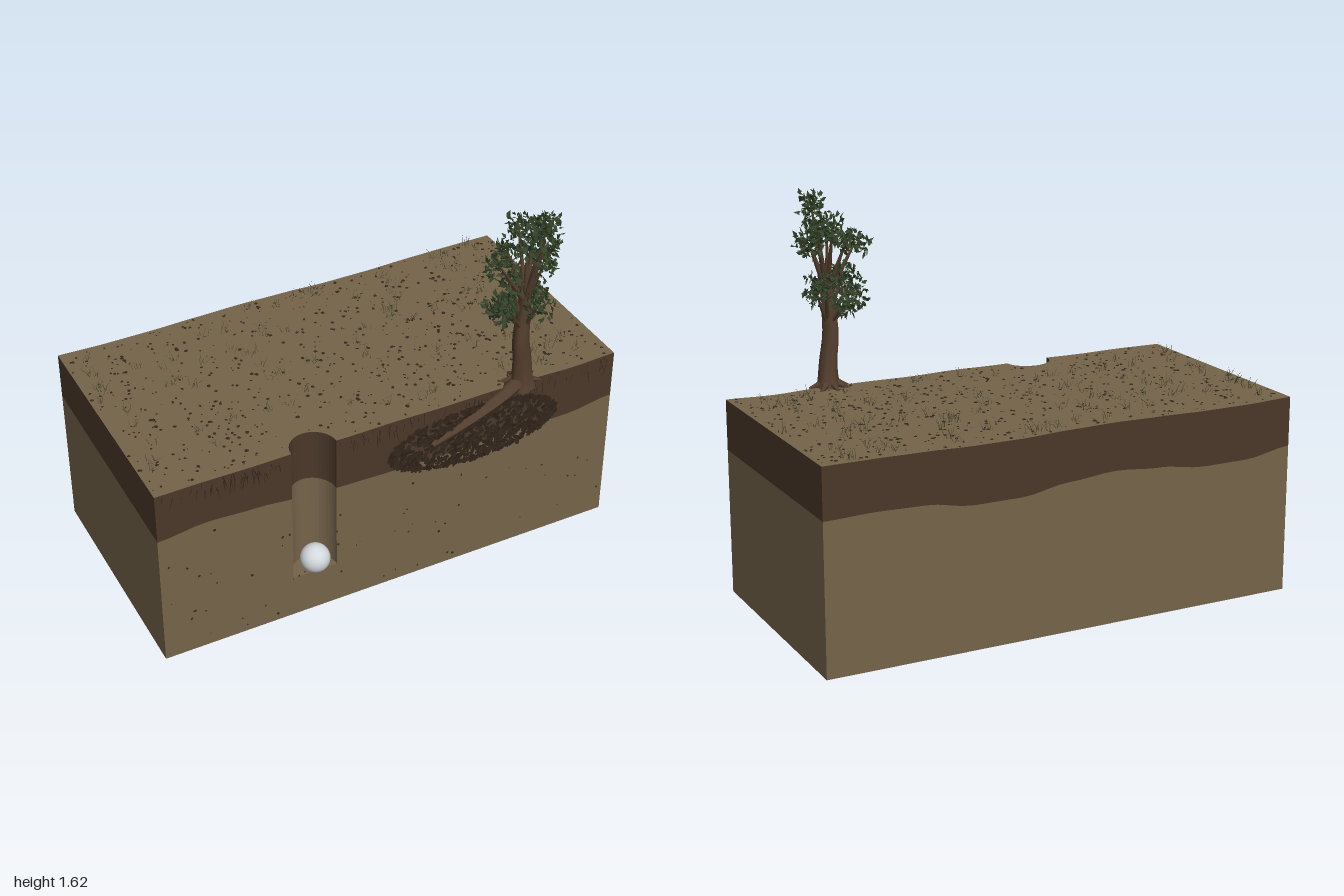
import * as THREE from 'three';
import { mergeGeometries } from 'three/addons/utils/BufferGeometryUtils.js';

let seed = 7;
const rnd = () => ((seed = (seed * 16807) % 2147483647) / 2147483647);
const rand = (a, b) => a + (b - a) * rnd();
const V = (x, y, z) => new THREE.Vector3(x, y, z);
const mat = (name, color, side = THREE.FrontSide) => {
  const m = new THREE.MeshStandardMaterial({ color, side });
  m.name = name;
  return m;
};

const FRONT = 0.415, BACK = -0.585;
const HOLE = { x: -0.35, r: 0.095, floor: 0.19 };

// Smooth height from values evenly spaced over x = -1..1
const wave = (vals, x) => {
  const t = Math.min(Math.max((x + 1) / 2, 0), 1) * (vals.length - 1);
  const i = Math.min(Math.floor(t), vals.length - 2), f = t - i;
  return vals[i] + (vals[i + 1] - vals[i]) * f * f * (3 - 2 * f);
};
const surface = (front, back) => (x, z) => {
  const k = (z - BACK) / (FRONT - BACK);
  return wave(back, x) * (1 - k) + wave(front, x) * k;
};
const ground = surface(
  [0.81, 0.812, 0.81, 0.812, 0.808, 0.81, 0.806, 0.808, 0.808, 0.802, 0.808],
  [0.812, 0.806, 0.806, 0.81, 0.813, 0.81, 0.803, 0.803, 0.808, 0.81, 0.81]);
const seam = surface(
  [0.595, 0.617, 0.607, 0.59, 0.575, 0.57, 0.568, 0.57, 0.572, 0.573, 0.6],
  [0.61, 0.58, 0.58, 0.605, 0.62, 0.605, 0.575, 0.575, 0.605, 0.61, 0.605]);
const base = () => 0;
const frontZ = (x) => FRONT - Math.sqrt(Math.max(0, HOLE.r ** 2 - (x - HOLE.x) ** 2));
const inHole = (x) => Math.abs(x - HOLE.x) < HOLE.r;

// Columns across the block, finer around the half-round shaft
const columns = [];
for (let i = 0; i <= 40; i++) if (!inHole(-1 + i / 20)) columns.push(-1 + i / 20);
for (let i = 0; i <= 20; i++) columns.push(HOLE.x - HOLE.r * Math.cos(Math.PI * i / 20));
columns.sort((a, b) => a - b);

const quads = (build) => {
  const pos = [];
  build((a, b, c, d) => [a, b, c, a, c, d].forEach((p) => pos.push(...p)));
  const g = new THREE.BufferGeometry();
  g.setAttribute('position', new THREE.Float32BufferAttribute(pos, 3));
  g.computeVertexNormals();
  return g;
};
const eachColumn = (fn) => columns.slice(1).forEach((b, i) => fn(columns[i], b));
const ROWS = 10;
const rowZ = (x, j) => BACK + (frontZ(x) - BACK) * j / ROWS;

// Four outer walls of one layer, following the shaft at the front
const walls = (lo, hi, shaftFloor) => quads((q) => {
  const P = (x, h, z) => [x, h(x, z), z];
  eachColumn((a, b) => {
    const za = frontZ(a), zb = frontZ(b);
    const cut = shaftFloor && inHole((a + b) / 2);
    const low = cut ? () => HOLE.floor : lo;
    q(P(a, low, za), P(b, low, zb), P(b, hi, zb), P(a, hi, za));
    q(P(b, lo, BACK), P(a, lo, BACK), P(a, hi, BACK), P(b, hi, BACK));
    if (cut) {
      q([a, 0, FRONT], [b, 0, FRONT], [b, HOLE.floor, FRONT], [a, HOLE.floor, FRONT]);
      q([a, HOLE.floor, FRONT], [b, HOLE.floor, FRONT], [b, HOLE.floor, zb], [a, HOLE.floor, za]);
    }
  });
  for (let j = 0; j < ROWS; j++) {
    const z0 = rowZ(1, j), z1 = rowZ(1, j + 1);
    q(P(-1, lo, z0), P(-1, lo, z1), P(-1, hi, z1), P(-1, hi, z0));
    q(P(1, lo, z1), P(1, lo, z0), P(1, hi, z0), P(1, hi, z1));
  }
});
const topSheet = () => quads((q) => eachColumn((a, b) => {
  const P = (x, j) => [x, ground(x, rowZ(x, j)), rowZ(x, j)];
  for (let j = 0; j < ROWS; j++) q(P(a, j + 1), P(b, j + 1), P(b, j), P(a, j));
}));

// Round limb that tapers along a curve, with optional bark ridges
const limb = (points, r0, r1, sides = 7, ridge = 0, flare = 0) => {
  const curve = new THREE.CatmullRomCurve3(points), n = points.length * 4;
  const g = new THREE.TubeGeometry(curve, n, 1, sides, false), p = g.attributes.position;
  for (let i = 0; i < p.count; i++) {
    const ring = Math.floor(i / (sides + 1)), t = ring / n, a = (i % (sides + 1)) / sides * Math.PI * 2;
    const r = (r0 + (r1 - r0) * t + flare * Math.exp(-t * 12)) * (1 + ridge * Math.sin(5 * a + t * 4));
    const c = curve.getPointAt(t);
    p.setXYZ(i, c.x + (p.getX(i) - c.x) * r, c.y + (p.getY(i) - c.y) * r, c.z + (p.getZ(i) - c.z) * r);
  }
  if (ridge) g.computeVertexNormals();
  return g;
};

const dummy = new THREE.Object3D();
const put = (geo, pos, rot, scale) => {
  dummy.position.copy(pos);
  dummy.rotation.set(...rot);
  dummy.scale.set(...scale);
  dummy.updateMatrix();
  return geo.clone().applyMatrix4(dummy.matrix);
};
const many = (n, fn) => mergeGeometries(Array.from({ length: n }, (_, i) => fn(i)).flat());

// Unit blade: narrow, bending ribbon along +y
const blade = quads((q) => {
  const w = [1, 0.75, 0.1], z = [0, 0.12, 0.5], y = [0, 0.6, 1];
  for (let i = 0; i < 2; i++)
    q([-w[i], y[i], z[i]], [w[i], y[i], z[i]], [w[i + 1], y[i + 1], z[i + 1]], [-w[i + 1], y[i + 1], z[i + 1]]);
});
// Unit leaf: diamond folded along its midrib
const leaf = quads((q) => {
  q([0, 0, 0], [0.3, 0.45, 0.12], [0, 1, 0], [0, 0.5, 0]);
  q([0, 0, 0], [0, 0.5, 0], [0, 1, 0], [-0.3, 0.45, 0.12]);
});

export function createModel() {
  seed = 7;
  const root = new THREE.Group();
  root.name = 'soilBlock';
  const subsoil = mat('tan subsoil', 0x75644a), topsoil = mat('dark topsoil', 0x4b382a);
  const bark = mat('bark', 0x543f2e), stone = mat('dark pebble', 0x33281e);
  const rootMat = mat('fine root', 0x30241a, THREE.DoubleSide);
  const green = mat('leaf green', 0x35442a, THREE.DoubleSide);
  const grassMat = mat('dry grass', 0x4e4d33, THREE.DoubleSide);
  const ballMat = mat('pale ball', 0xd3d9dc);
  const add = (name, geo, m, parent = root) => {
    const mesh = new THREE.Mesh(geo, m);
    mesh.name = name;
    parent.add(mesh);
    return mesh;
  };

  // Earth layers
  add('subsoilLayer', walls(base, seam, true), subsoil);
  add('topsoilLayer', walls(seam, ground, false), topsoil);
  add('groundSurface', topSheet(), subsoil);
  add('underside', new THREE.PlaneGeometry(2, 1).rotateX(Math.PI / 2).translate(0, 0, (FRONT + BACK) / 2), subsoil);

  // Ball resting in the shaft, with grit around it
  add('ball', new THREE.SphereGeometry(0.06, 32, 20).translate(HOLE.x, 0.26, FRONT), ballMat);
  const pebble = new THREE.IcosahedronGeometry(1, 0);
  const spin = () => [0, rand(0, 6.3), 0];
  add('shaftGrit', many(24, () => {
    const a = rand(Math.PI, 2 * Math.PI), r = rand(0.02, 0.075), s = rand(0.003, 0.007);
    return put(pebble, V(HOLE.x + r * Math.cos(a), 0.193, FRONT + r * Math.sin(a)), spin(), [s, s, s]);
  }), stone);

  // Pebbles on the ground and in the cut face
  add('groundPebbles', many(750, () => {
    const x = rand(-0.99, 0.99), z = rand(BACK + 0.01, frontZ(x) - 0.01), s = rand(0.003, 0.0095);
    return put(pebble, V(x, ground(x, z), z), spin(), [s, s * 0.5, s * rand(0.6, 1)]);
  }), stone);
  add('facePebbles', many(70, () => {
    const x = rand(-0.98, 0.98), s = rand(0.002, 0.006);
    return put(pebble, V(x, rand(0.03, 0.6), inHole(x) ? BACK + 0.02 : FRONT), [0, 0, rand(0, 3)], [s * 1.3, s, s * 0.5]);
  }), stone);

  // Grass tufts
  add('grass', many(95, () => {
    const x = rand(-0.97, 0.97), z = BACK + 0.02 + 0.93 * Math.pow(rnd(), 1.25);
    return Array.from({ length: 7 }, () => {
      const bx = Math.min(0.98, Math.max(-0.98, x + rand(-0.02, 0.02))), bz = Math.min(z + rand(-0.015, 0.015), frontZ(bx) - 0.01);
      return put(blade, V(bx, ground(bx, bz) - 0.002, bz), [rand(-0.6, 0.6), rand(0, 6.3), rand(-0.6, 0.6)],
        [0.0013, rand(0.02, 0.055), rand(0.02, 0.06)]);
    });
  }), grassMat);

  // Rootlets hanging in the topsoil face
  add('rootlets', many(110, () => {
    let x = rand(-0.98, 0.98);
    if (Math.abs(x - HOLE.x) < 0.11) x -= 0.25;
    return put(blade, V(x, ground(x, FRONT) - rand(0, 0.05), FRONT + 0.003), [0, 0, Math.PI + rand(-0.35, 0.35)],
      [rand(0.001, 0.0025), rand(0.02, 0.075), 0.004]);
  }), rootMat);

  // Oval mat of fine roots on the cut face
  const patch = new THREE.CircleGeometry(1, 5);
  add('rootMat', many(1150, (i) => {
    const a = rand(0, Math.PI * 2), r = i < 280 ? rand(0.93, 1) : Math.sqrt(rnd());
    const y = 0.635 + 0.128 * r * Math.sin(a) , x = 0.352 + 0.38 * r * Math.cos(a) ;
    const s = rand(0.006, 0.011);
    return put(patch, V(x, y, FRONT + rand(0.003, 0.012) + 0.012 * (1 - r)), [rand(-0.3, 0.3), rand(-0.3, 0.3), rand(0, 3)], [s * 1.7, s, 1]);
  }), rootMat);

  // Tree
  const tree = new THREE.Group();
  tree.name = 'tree';
  root.add(tree);
  add('trunk', limb([V(0.565, 0.79, 0.412), V(0.56, 0.9, 0.414), V(0.548, 1.02, 0.413), V(0.555, 1.12, 0.412),
    V(0.56, 1.22, 0.415)], 0.04, 0.025, 15, 0.1, 0.014), bark, tree);
  add('mainRoot', limb([V(0.57, 0.835, 0.418), V(0.49, 0.785, 0.422), V(0.4, 0.74, 0.424), V(0.29, 0.695, 0.426),
    V(0.16, 0.645, 0.424)], 0.032, 0.014, 10, 0.08), bark, tree);
  const spread = [[0.64, 0.43], [0.62, 0.35], [0.55, 0.33], [0.49, 0.37], [0.5, 0.425]];
  add('surfaceRoots', many(spread.length, (i) => {
    const [x, z] = spread[i];
    return limb([V(0.56, 0.845, 0.41), V((x + 0.56) / 2, 0.82, (z + 0.41) / 2), V(x, 0.804, z)], 0.022, 0.006, 6);
  }), bark, tree);

  // Leaf cluster centres with their radius; a branch runs to each
  const clusters = [
    [0.46, 1.17, 0.38, 0.06], [0.44, 1.22, 0.47, 0.06], [0.56, 1.22, 0.5, 0.06], [0.62, 1.2, 0.37, 0.05],
    [0.6, 1.24, 0.32, 0.055], [0.5, 1.28, 0.4, 0.055], [0.43, 1.39, 0.42, 0.06], [0.5, 1.41, 0.35, 0.055],
    [0.64, 1.41, 0.4, 0.06], [0.6, 1.37, 0.46, 0.05], [0.57, 1.48, 0.31, 0.055], [0.58, 1.5, 0.49, 0.06],
    [0.6, 1.56, 0.47, 0.05], [0.56, 1.44, 0.4, 0.055], [0.52, 1.16, 0.33, 0.045], [0.62, 1.47, 0.35, 0.05]];
  add('branches', many(clusters.length, (i) => {
    const [x, y, z] = clusters[i], low = y < 1.3, y0 = low ? 1.06 : 1.19;
    return limb([V(0.557, y0, 0.413), V(0.557 + (x - 0.557) * 0.45, y0 + (y - y0) * 0.45, 0.413 + (z - 0.413) * 0.4),
      V(x, y, z)], low ? 0.012 : 0.015, 0.003, 6);
  }), bark, tree);
  add('leaves', many(clusters.length, (i) => {
    const [x, y, z, r] = clusters[i];
    return Array.from({ length: 75 }, () => {
      const d = V(rand(-1, 1), rand(-1, 1), rand(-1, 1)).normalize().multiplyScalar(r * Math.cbrt(rnd()));
      const s = rand(0.022, 0.036);
      return put(leaf, V(x + d.x, y + d.y * 0.85, z + d.z), [rand(0, 6.3), rand(0, 6.3), rand(0, 6.3)], [s, s, s]);
    });
  }), green, tree);
  return root;
}
